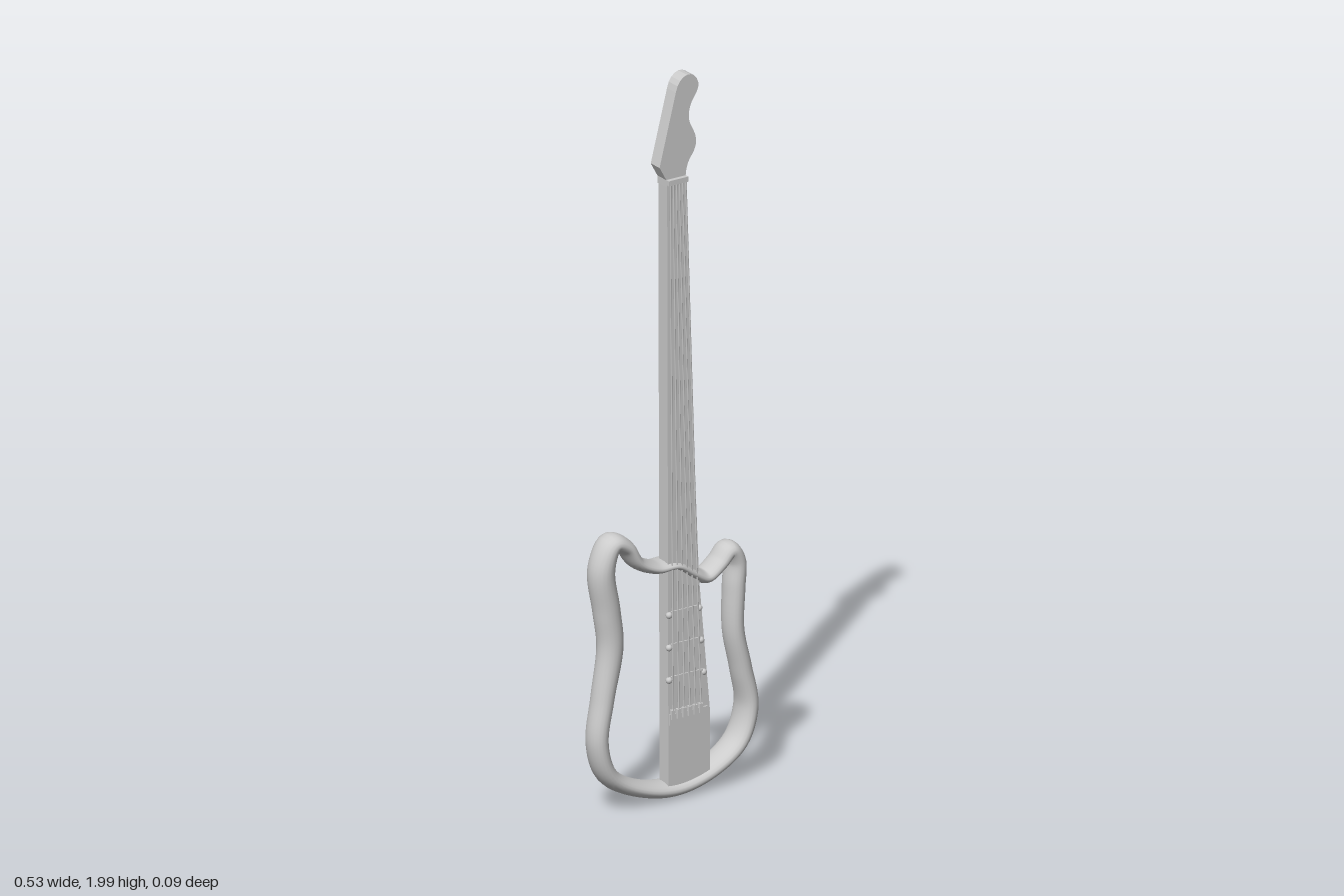
import * as THREE from 'three';

const material = new THREE.MeshStandardMaterial({ color: 0xcccccc });

function add(parent, name, geometry, x = 0, y = 0, z = 0) {
  const mesh = new THREE.Mesh(geometry, material);
  mesh.name = name;
  mesh.position.set(x, y, z);
  parent.add(mesh);
  return mesh;
}

// Flat plate between two depths
function plate(shape, back, front) {
  const g = new THREE.ExtrudeGeometry(shape, { depth: front - back, bevelEnabled: false, curveSegments: 8 });
  return g.translate(0, 0, back);
}

// Closed oval tube: each station is x, y, half width, half depth, z offset
function ovalLoop(stations, steps = 180, sides = 20) {
  const path = new THREE.CatmullRomCurve3(stations.map(s => new THREE.Vector3(s[0], s[1], s[4])), true);
  const size = new THREE.CatmullRomCurve3(stations.map(s => new THREE.Vector3(s[2], s[3], 0)), true);
  const pos = [], idx = [];
  for (let i = 0; i < steps; i++) {
    const p = path.getPoint(i / steps), t = path.getTangent(i / steps), s = size.getPoint(i / steps);
    const len = Math.hypot(t.x, t.y);
    for (let j = 0; j < sides; j++) {
      const a = j / sides * Math.PI * 2, w = Math.cos(a) * s.x / len;
      pos.push(p.x + t.y * w, p.y - t.x * w, p.z + Math.sin(a) * s.y);
      const i2 = (i + 1) % steps, j2 = (j + 1) % sides;
      const A = i * sides + j, B = i2 * sides + j, C = i2 * sides + j2, D = i * sides + j2;
      idx.push(A, B, D, B, C, D);
    }
  }
  const g = new THREE.BufferGeometry();
  g.setAttribute('position', new THREE.Float32BufferAttribute(pos, 3));
  g.setIndex(idx);
  g.computeVertexNormals();
  return g;
}

export function createModel() {
  const guitar = new THREE.Group();
  guitar.name = 'guitar';

  // Open body frame, counterclockwise from the upper horn
  add(guitar, 'bodyFrame', ovalLoop([
    [-0.19, 0.742, 0.026, 0.041, 0.002],
    [-0.22, 0.675, 0.034, 0.041, 0.002],
    [-0.205, 0.56, 0.036, 0.038, 0.003],
    [-0.195, 0.46, 0.035, 0.036, 0.005],
    [-0.22, 0.32, 0.029, 0.036, 0.007],
    [-0.238, 0.2, 0.027, 0.036, 0.009],
    [-0.205, 0.105, 0.025, 0.040, 0.004],
    [-0.12, 0.05, 0.022, 0.043, 0.002],
    [0, 0.025, 0.022, 0.044, 0.001],
    [0.12, 0.052, 0.022, 0.045, -0.001],
    [0.205, 0.11, 0.024, 0.045, -0.002],
    [0.238, 0.2, 0.026, 0.043, -0.003],
    [0.218, 0.31, 0.027, 0.036, 0],
    [0.195, 0.42, 0.026, 0.036, 0],
    [0.197, 0.54, 0.027, 0.038, 0],
    [0.2, 0.61, 0.025, 0.038, 0],
    [0.178, 0.644, 0.024, 0.038, 0],
    [0.145, 0.615, 0.02, 0.038, 0],
    [0.1, 0.588, 0.018, 0.039, 0],
    [0.055, 0.61, 0.016, 0.041, 0.001],
    [0.0, 0.645, 0.013, 0.043, 0.002],
    [-0.06, 0.648, 0.016, 0.041, 0.002],
    [-0.115, 0.675, 0.018, 0.041, 0.002],
    [-0.15, 0.725, 0.021, 0.041, 0.002],
  ]));

  // Neck running down into the wide centre plate
  const neck = new THREE.Shape([
    [-0.034, 1.72], [-0.03, 0.03], [0.1, 0.035], [0.1, 0.23], [0.066, 0.6], [0.055, 0.86], [0.027, 1.72],
  ].map(p => new THREE.Vector2(...p)));
  add(guitar, 'neck', plate(neck, -0.008, 0.032));

  // Headstock with a rounded tip
  const head = new THREE.Shape();
  head.moveTo(-0.034, 1.7);
  head.lineTo(-0.034, 1.72);
  head.lineTo(-0.055, 1.758);
  head.lineTo(-0.004, 1.955);
  head.bezierCurveTo(0.006, 2.005, 0.056, 2.012, 0.067, 1.968);
  head.bezierCurveTo(0.07, 1.935, 0.036, 1.93, 0.037, 1.88);
  head.bezierCurveTo(0.038, 1.85, 0.06, 1.84, 0.06, 1.805);
  head.bezierCurveTo(0.056, 1.77, 0.03, 1.77, 0.027, 1.72);
  head.lineTo(0.027, 1.7);
  add(guitar, 'headstock', plate(head, -0.012, 0.028));
  add(guitar, 'nut', new THREE.BoxGeometry(0.061, 0.014, 0.012), -0.0035, 1.713, 0.034);

  // Six strings fanning out towards the bridge
  for (let i = 0; i < 6; i++) {
    const line = new THREE.LineCurve3(
      new THREE.Vector3(-0.028 + i * 0.0095, 1.72, 0.038),
      new THREE.Vector3(-0.02 + i * 0.0175, 0.235, 0.039));
    add(guitar, 'string', new THREE.TubeGeometry(line, 1, 0.0022, 6));
    add(guitar, 'bridgeSaddle', new THREE.BoxGeometry(0.011, 0.026, 0.011), -0.02 + i * 0.0175, 0.24, 0.037);
  }
  add(guitar, 'bridge', new THREE.BoxGeometry(0.118, 0.03, 0.006), 0.031, 0.225, 0.034);

  // Pickups with a small screw at each end
  for (const [y, right] of [[0.515, 0.066], [0.425, 0.072], [0.335, 0.08]]) {
    add(guitar, 'pickup', new THREE.BoxGeometry(right + 0.02, 0.02, 0.006), (right - 0.028) / 2, y, 0.033);
    for (const x of [-0.028, right])
      add(guitar, 'pickupScrew', new THREE.SphereGeometry(0.009, 12, 8), x, y, 0.032);
  }
  return guitar;
}
